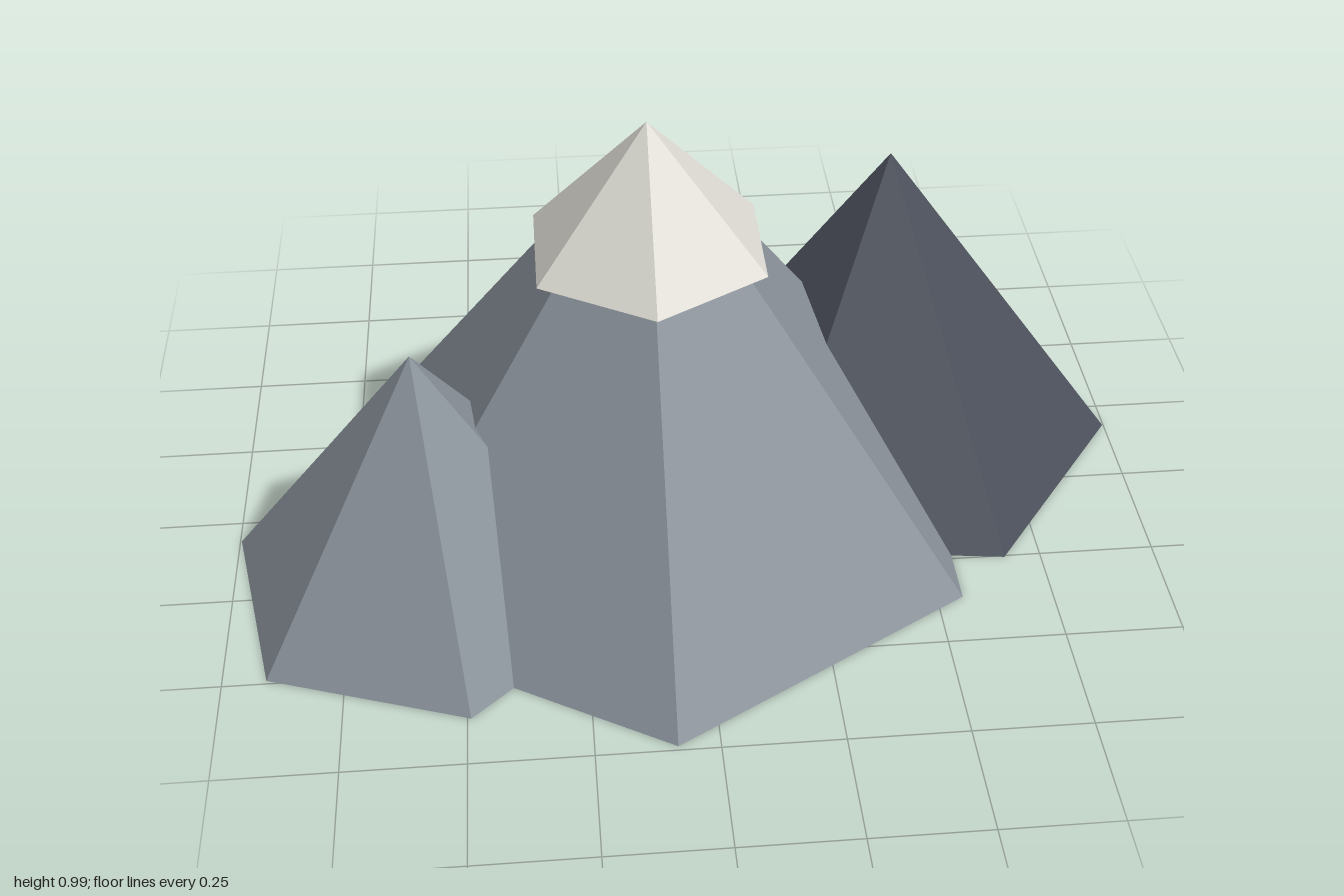
import * as THREE from 'three';

function material(name, color) {
  const m = new THREE.MeshStandardMaterial({ color, flatShading: true });
  m.name = name;
  return m;
}

export function createModel() {
  const rock = material('grey rock', 0x868e96);
  const darkRock = material('dark rock', 0x4b4f59);
  const snow = material('snow', 0xdad8d0);
  const group = new THREE.Group();
  group.name = 'mountains';

  // six-sided peak standing on height y, turned about its axis
  function peak(name, mat, radius, height, x, y, z, turn = 0) {
    const geometry = new THREE.ConeGeometry(radius, height, 6);
    geometry.translate(0, height / 2, 0);
    const mesh = new THREE.Mesh(geometry, mat);
    mesh.name = name;
    mesh.position.set(x, y, z);
    mesh.rotation.y = turn;
    group.add(mesh);
  }

  peak('mainPeak', rock, 0.74, 0.985, -0.085, 0, 0);
  peak('snowCap', snow, 0.27, 0.295, -0.085, 0.695, 0);
  peak('leftPeak', darkRock, 0.542, 0.74, 0.46, 0, -0.245, 0.4);
  peak('rightPeak', rock, 0.44, 0.59, -0.58, 0, 0.2, 0.2);

  return group;
}
